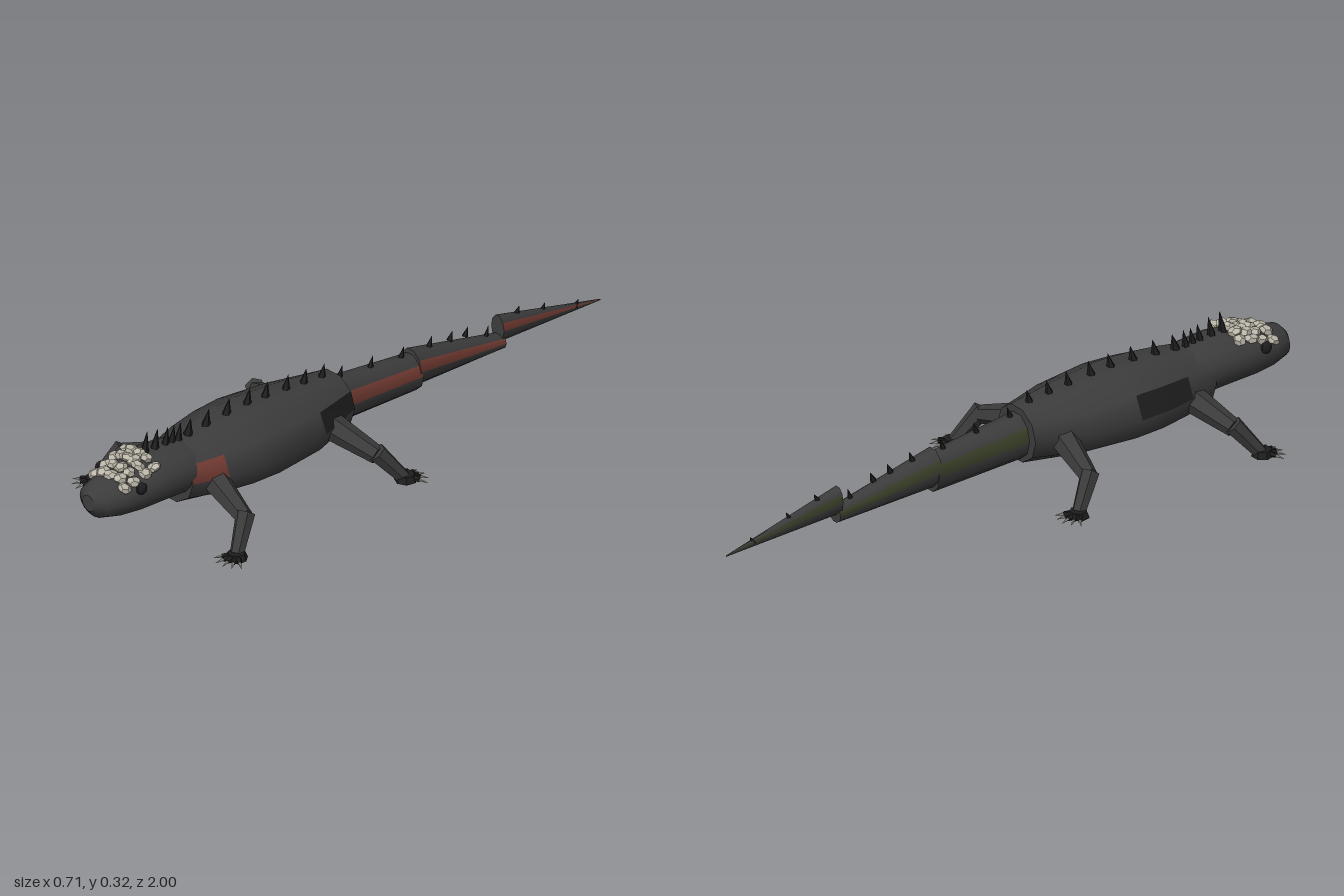
import * as THREE from 'three';

const mat = (name, color, flatShading = false) => {
  const m = new THREE.MeshStandardMaterial({ color, flatShading });
  m.name = name;
  return m;
};

// Loft of elliptical rings [z, centreY, radiusX, radiusY] running front to back.
// paint(ringIndex, sideIndex) picks the material slot of each facet.
function loft(rings, sides, paint = () => 0) {
  const pos = [], slots = [[], [], [], []];
  const addRing = ([z, cy, rx, ry]) => {
    const start = pos.length / 3;
    for (let j = 0; j < sides; j++) {
      const a = (j / sides) * Math.PI * 2;
      pos.push(rx * Math.cos(a), cy + ry * Math.sin(a), z);
    }
    return start;
  };
  const starts = rings.map(addRing);
  for (let i = 0; i < rings.length - 1; i++) {
    for (let j = 0; j < sides; j++) {
      const k = (j + 1) % sides;
      const a = starts[i] + j, b = starts[i] + k, c = starts[i + 1] + j, d = starts[i + 1] + k;
      slots[paint(i, j)].push(a, c, b, b, c, d);
    }
  }
  // End caps with their own corners keep the rims sharp
  for (const front of [true, false]) {
    const s = addRing(front ? rings[0] : rings[rings.length - 1]);
    for (let j = 1; j < sides - 1; j++) {
      slots[0].push(s, s + (front ? j : j + 1), s + (front ? j + 1 : j));
    }
  }
  const g = new THREE.BufferGeometry();
  g.setAttribute('position', new THREE.Float32BufferAttribute(pos, 3));
  g.setIndex(slots.flat());
  let at = 0;
  slots.forEach((s, m) => {
    if (s.length) g.addGroup(at, s.length, m);
    at += s.length;
  });
  g.computeVertexNormals();
  return g;
}

export function createModel() {
  const model = new THREE.Group();
  const hide = mat('charcoal hide', 0x3c3c3c);
  const limb = mat('charcoal limb', 0x3a3a3a, true);
  const black = mat('black', 0x1e1e1e, true);
  const red = mat('rust red', 0x743c33);
  const green = mat('moss green', 0x3a4029);
  const bone = mat('pale scale', 0xbab5a8, true);
  const claw = mat('claw grey', 0x9c988e, true);
  const skins = [hide, red, green, black];

  const add = (name, geometry, material, parent = model) => {
    const m = new THREE.Mesh(geometry, material);
    m.name = name;
    parent.add(m);
    return m;
  };
  // Tapered rod between two points
  const rod = (name, a, b, ra, rb, sides, material, parent) => {
    const p = new THREE.Vector3(...a), q = new THREE.Vector3(...b);
    const m = add(name, new THREE.CylinderGeometry(rb, ra, p.distanceTo(q), sides), material, parent);
    m.position.copy(p).add(q).multiplyScalar(0.5);
    m.quaternion.setFromUnitVectors(new THREE.Vector3(0, 1, 0), q.sub(p).normalize());
    return m;
  };

  // Barrel body, with a red shoulder patch and dark flank patches
  add('body', loft([
    [0.68, 0.155, 0.1, 0.09], [0.57, 0.154, 0.136, 0.104], [0.47, 0.154, 0.155, 0.112],
    [0.37, 0.154, 0.16, 0.115], [0.2, 0.15, 0.143, 0.104], [0.04, 0.15, 0.09, 0.087],
  ], 10, (i, j) => {
    if (i === 0 && j === 0) return 1;
    if (i === 4 && j === 0) return 3;
    if ((i === 1 || i === 2) && j === 4) return 3;
    return 0;
  }), skins);

  // Neck, head and blunt snout
  add('head', loft([
    [0.995, 0.175, 0.025, 0.025], [0.975, 0.173, 0.058, 0.048], [0.92, 0.172, 0.078, 0.06],
    [0.85, 0.178, 0.094, 0.072], [0.76, 0.182, 0.102, 0.078], [0.66, 0.175, 0.098, 0.078],
    [0.6, 0.17, 0.09, 0.07],
  ], 16), hide);

  // Stepped tail, red on its left flank and green on its right
  const flank = (i, j) => (j === 0 ? 1 : j === 4 ? 2 : 0);
  [
    [[0.07, 0.147, 0.063, 0.073], [-0.27, 0.117, 0.046, 0.06]],
    [[-0.26, 0.133, 0.046, 0.06], [-0.61, 0.084, 0.027, 0.025]],
    [[-0.6, 0.128, 0.027, 0.043], [-1, 0.066, 0.001, 0.002]],
  ].forEach((rings, i) => add('tailSegment' + (i + 1), loft(rings, 10, flank), skins));

  // Row of back spines: [z, base y, tip y]
  const spines = [
    [0.77, 0.25, 0.322], [0.73, 0.25, 0.315], [0.69, 0.24, 0.305], [0.665, 0.235, 0.3], [0.64, 0.235, 0.3],
    [0.6, 0.25, 0.298], [0.53, 0.25, 0.302], [0.45, 0.255, 0.306], [0.37, 0.255, 0.306], [0.3, 0.25, 0.302],
    [0.22, 0.24, 0.294], [0.15, 0.235, 0.285], [0.08, 0.225, 0.275],
    [0.01, 0.205, 0.242], [-0.11, 0.19, 0.228], [-0.23, 0.175, 0.21], [-0.34, 0.17, 0.203],
    [-0.42, 0.16, 0.188], [-0.48, 0.15, 0.178], [-0.56, 0.11, 0.15],
    [-0.68, 0.145, 0.168], [-0.78, 0.115, 0.14], [-0.91, 0.08, 0.1],
  ];
  for (const [z, y0, y1] of spines) {
    const r = z > 0.05 ? 0.015 : 0.01;
    rod('spine', [0, y0, z + 0.008], [0, y1, z - 0.004], r, 0.0005, 5, black);
  }

  // Pale knobbly scales in two bands across the crown
  let seed = 7;
  const rnd = () => ((seed = (seed * 16807) % 2147483647) / 2147483647);
  const scaleGeometry = new THREE.DodecahedronGeometry(1, 0);
  for (const [z, n, top] of [[0.905, 5, 0.233], [0.87, 5, 0.243], [0.83, 6, 0.256], [0.795, 5, 0.262]]) {
    for (let i = 0; i < n; i++) {
      const x = (i / (n - 1) - 0.5) * 0.124;
      const s = add('crownScale', scaleGeometry, bone);
      s.position.set(x, top - x * x * 5 + rnd() * 0.005, z + (rnd() - 0.5) * 0.016);
      s.scale.set(0.019 + rnd() * 0.006, 0.013 + rnd() * 0.004, 0.018 + rnd() * 0.005);
      s.rotation.set(rnd() - 0.5, rnd() * 3, -x * 6);
    }
  }

  // Eyes and the four splayed legs; the hind pair mirrors the front pair
  for (const s of [1, -1]) {
    const eye = add(s > 0 ? 'leftEye' : 'rightEye', new THREE.SphereGeometry(0.018, 10, 8), black);
    eye.position.set(s * 0.086, 0.21, 0.868);
    eye.scale.x = 0.75;

    for (const f of [1, -1]) {
      const leg = new THREE.Group();
      leg.name = (s > 0 ? 'left' : 'right') + (f > 0 ? 'FrontLeg' : 'HindLeg');
      model.add(leg);
      const at = (x, y, z) => [s * x, y, 0.365 + f * z];
      rod('upperLeg', at(0.09, 0.138, 0.225), at(0.255, 0.092, 0.26), 0.042, 0.027, 6, limb, leg);
      rod('lowerLeg', at(0.255, 0.105, 0.255), at(0.293, 0.012, 0.325), 0.029, 0.021, 6, limb, leg);
      rod('foot', at(0.297, 0.002, 0.33), at(0.297, 0.022, 0.33), 0.034, 0.026, 7, black, leg);
      for (let i = 0; i < 5; i++) {
        const a = -0.75 + i * 0.45;
        const reach = (d, y) => at(0.297 + d * Math.sin(a), y, 0.33 + d * Math.cos(a));
        rod('toe', reach(0.018, 0.012), reach(0.042, 0.009), 0.01, 0.007, 5, black, leg);
        rod('claw', reach(0.036, 0.01), reach(0.066, 0.003), 0.006, 0.0004, 5, claw, leg);
      }
    }
  }
  return model;
}
